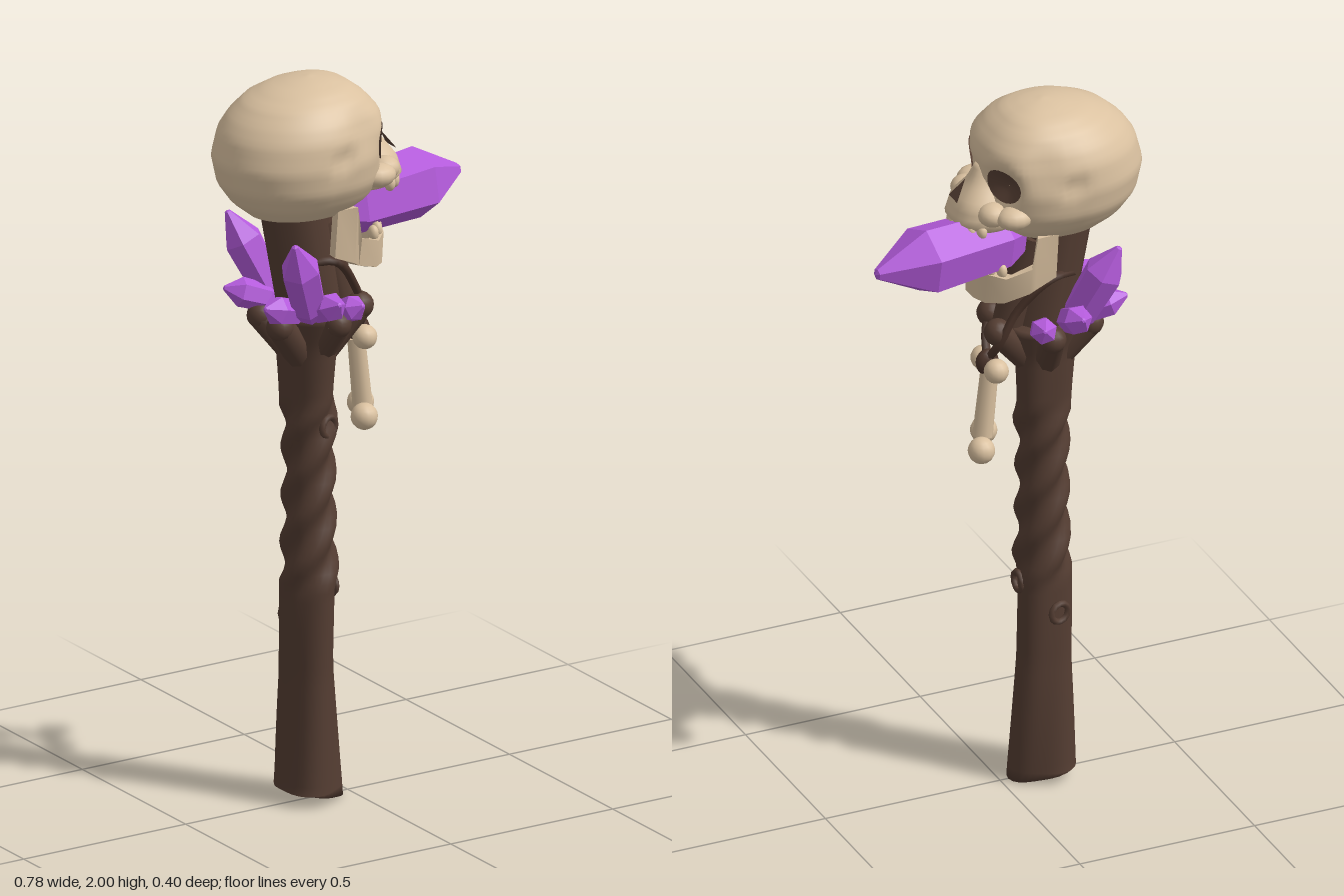
import * as THREE from 'three';
import { toCreasedNormals } from 'three/addons/utils/BufferGeometryUtils.js';

const V = (x, y, z) => new THREE.Vector3(x, y, z);
const mat = (name, color, extra = {}) => {
  const m = new THREE.MeshStandardMaterial({ color, ...extra });
  m.name = name;
  return m;
};

// Skin a list of equal rings and close both ends
function loft(rings) {
  const n = rings[0].length, pos = [], idx = [];
  rings.forEach(r => r.forEach(p => pos.push(p.x, p.y, p.z)));
  for (let i = 0; i < rings.length - 1; i++) for (let j = 0; j < n; j++) {
    const a = i * n + j, b = i * n + (j + 1) % n;
    idx.push(a, a + n, b, b, a + n, b + n);
  }
  [0, rings.length - 1].forEach((k, end) => {
    const c = rings[k].reduce((s, p) => s.add(p), V(0, 0, 0)).divideScalar(n);
    const ci = pos.length / 3;
    pos.push(c.x, c.y, c.z);
    for (let j = 0; j < n; j++) {
      const a = k * n + j, b = k * n + (j + 1) % n;
      end ? idx.push(ci, b, a) : idx.push(ci, a, b);
    }
  });
  const g = new THREE.BufferGeometry();
  g.setAttribute('position', new THREE.Float32BufferAttribute(pos, 3));
  g.setIndex(idx);
  g.computeVertexNormals();
  return g;
}

// Interpolate a table whose first column is y
function sample(table, y) {
  let i = 0;
  while (i < table.length - 2 && y > table[i + 1][0]) i++;
  const t = THREE.MathUtils.clamp((y - table[i][0]) / (table[i + 1][0] - table[i][0]), 0, 1);
  return table[i].map((v, k) => v + (table[i + 1][k] - v) * t);
}

// Rows: y, back x, front x, half depth
const CRANIUM = [[1.625, -0.23, -0.08, 0.06], [1.64, -0.29, -0.02, 0.11], [1.68, -0.34, 0.03, 0.155],
  [1.73, -0.375, 0.055, 0.186], [1.8, -0.39, 0.062, 0.197], [1.87, -0.372, 0.068, 0.19], [1.91, -0.345, 0.055, 0.172],
  [1.95, -0.3, 0.02, 0.14], [1.98, -0.235, -0.02, 0.095], [1.995, -0.17, -0.07, 0.045], [2, -0.125, -0.115, 0.005]];
const MAXILLA = [[1.675, -0.04, 0.115, 0.075], [1.7, -0.04, 0.147, 0.088], [1.75, -0.04, 0.13, 0.085],
  [1.8, -0.04, 0.092, 0.045], [1.85, -0.03, 0.066, 0.025]];
const POW = 2.5;

// Sunken places: x, y, z, radius, push x, push z
const DENTS = [[0.04, 1.82, 0.1, 0.08, -0.035, 0], [0.04, 1.82, -0.1, 0.08, -0.035, 0],
  [-0.13, 1.82, 0.19, 0.05, 0, -0.015], [-0.13, 1.82, -0.19, 0.05, 0, 0.015],
  [-0.05, 1.88, 0.18, 0.09, 0, -0.012], [-0.05, 1.88, -0.18, 0.09, 0, 0.012]];
function dent(p) {
  for (const [x, y, z, r, px, pz] of DENTS) {
    const f = Math.max(0, 1 - p.distanceTo(V(x, y, z)) / r);
    const k = f * f * (3 - 2 * f);
    p.x += px * k;
    p.z += pz * k;
  }
  return p;
}
function headRing(table, y, n, change = p => p) {
  const [, xb, xf, hz] = sample(table, y);
  return Array.from({ length: n }, (_, j) => {
    const a = j / n * Math.PI * 2, c = Math.cos(a), s = Math.sin(a), e = 2 / (c > 0 ? POW : 2);
    return change(V((xb + xf) / 2 + (xf - xb) / 2 * Math.sign(c) * Math.abs(c) ** e, y, hz * Math.sign(s) * Math.abs(s) ** e));
  });
}

export function createModel() {
  const root = new THREE.Group();
  root.name = 'skullStaff';
  const bone = mat('bone', 0xdac1a0), wood = mat('wood', 0x543d32), cord = mat('cord', 0x4b342a);
  const hollow = mat('hollow', 0x5a4236, { side: THREE.DoubleSide });
  const violet = mat('violetCrystal', 0xb45bdc, { flatShading: true });
  const add = (name, geo, m, parent = root) => {
    const mesh = new THREE.Mesh(geo, m);
    mesh.name = name;
    parent.add(mesh);
    return mesh;
  };
  const group = name => {
    const g = new THREE.Group();
    g.name = name;
    root.add(g);
    return g;
  };
  const aim = (mesh, a, b) => {
    mesh.position.copy(a);
    mesh.quaternion.setFromUnitVectors(V(0, 1, 0), b.clone().sub(a).normalize());
    return mesh;
  };
  const ball = (name, p, r, m, parent, s = [1, 1, 1]) => {
    const b = add(name, new THREE.SphereGeometry(r, 14, 10), m, parent);
    b.position.copy(p);
    b.scale.set(...s);
  };
  const limb = (name, a, b, ra, rb, m, parent) => {
    const h = a.distanceTo(b);
    aim(add(name, new THREE.CylinderGeometry(rb, ra, h, 10).translate(0, h / 2, 0), m, parent), a, b);
  };

  // Twisted shaft of three fused strands
  const R = [[0.01, 0.088], [0.1, 0.083], [0.35, 0.071], [0.62, 0.071], [0.75, 0.066], [0.95, 0.064], [1.15, 0.072], [1.27, 0.08], [1.36, 0.105]];
  const shaft = [];
  for (let y = 0.01; y < 1.361; y += 0.025) {
    const r = sample(R, y)[1], tw = y * 1.2 + THREE.MathUtils.clamp(y - 0.6, 0, 0.5) * 15;
    const g = y > 0.6 && y < 1.1 ? 0.14 : 0.1;
    shaft.push(Array.from({ length: 30 }, (_, j) => {
      const a = j / 30 * Math.PI * 2, k = r * (1 + g * Math.cos(3 * (a + tw)));
      const x = Math.cos(a) * k;
      return V(-0.12 + x, y + (y < 0.02 ? 0.015 - x * 0.25 : 0), Math.sin(a) * k);
    }));
  }
  add('shaft', loft(shaft), wood);
  const knots = group('knots');
  [[-0.052, 0.58, 0, Math.PI / 2], [-0.095, 1.04, 0.058, 0.3], [-0.14, 0.5, -0.068, 0.2]].forEach(([x, y, z, ry]) => {
    const k = add('knot', new THREE.TorusGeometry(0.026, 0.009, 6, 12), wood, knots);
    k.position.set(x, y, z);
    k.rotation.y = ry;
  });

  // Branch stubs and the neck under the skull
  const crown = group('branchCrown');
  [[0.02, 1.35, -0.03], [0.0, 1.36, 0.06], [-0.1, 1.34, 0.11], [-0.24, 1.34, 0.05], [-0.23, 1.34, -0.06], [-0.1, 1.34, -0.11]].forEach(p => {
    const end = V(...p);
    limb('branch', V(-0.12, 1.2, 0), end, 0.045, 0.036, wood, crown);
    ball('branchTip', end, 0.037, wood, crown);
  });
  limb('neck', V(-0.11, 1.32, 0), V(-0.17, 1.66, 0), 0.085, 0.09, wood, crown);
  limb('frontRoot', V(-0.02, 1.33, 0), V(-0.1, 1.6, 0), 0.045, 0.06, wood, crown);

  // Skull
  const skull = group('skull');
  const rows = Array.from({ length: 39 }, (_, i) => 1.8125 - 0.1875 * Math.cos(i / 38 * Math.PI));
  add('cranium', loft(rows.map(y => headRing(CRANIUM, y, 64, dent))), bone, skull);
  add('upperJaw', loft(Array.from({ length: 13 }, (_, i) => headRing(MAXILLA, 1.675 + i * 0.0145, 24))), bone, skull);

  // Eye hollows follow the dented face
  for (const s of [-1, 1]) {
    const eye = new THREE.RingGeometry(0.001, 0.05, 22, 5), p = eye.attributes.position;
    for (let i = 0; i < p.count; i++) {
      const y = 1.82 + p.getY(i) * 0.95, z = s * 0.1 - p.getX(i);
      const [, xb, xf, hz] = sample(CRANIUM, y);
      const v = dent(V((xb + xf) / 2 + (xf - xb) / 2 * (1 - Math.abs(z / hz) ** POW) ** (1 / POW), y, z));
      p.setXYZ(i, v.x + 0.007, v.y, v.z);
    }
    eye.computeVertexNormals();
    add('eyeHollow', eye, hollow, skull);
    ball('cheekbone', V(0.015, 1.735, s * 0.125), 0.045, bone, skull, [1.1, 0.7, 0.9]);
    ball('cheekFront', V(0.06, 1.735, s * 0.085), 0.04, bone, skull, [1, 0.8, 1]);
  }
  const nose = new THREE.BufferGeometry().setFromPoints([V(0.135, 1.757, 0.026), V(0.135, 1.757, -0.026), V(0.1, 1.808, 0)]);
  nose.computeVertexNormals();
  add('noseHollow', nose, hollow, skull);

  // Lower jaw: x, z, top, bottom of each section
  const half = [[-0.11, 0.128, 1.66, 1.525], [-0.05, 0.13, 1.66, 1.5], [-0.035, 0.126, 1.57, 1.49],
    [0.03, 0.105, 1.545, 1.468], [0.07, 0.065, 1.55, 1.462], [0.088, 0.025, 1.552, 1.465]];
  const jaw = [...half, ...half.map(([x, z, t, b]) => [x, -z, t, b]).reverse()].map(([x, z, t, b]) => {
    const inner = 0.03, d = V(x + 0.1, 0, z).normalize().multiplyScalar(inner);
    const low = 0.88;
    return [V(x, b, z * low), V(x, t, z), V(x - d.x, t, z - d.z), V(x - d.x, b, z * low - d.z)];
  });
  add('lowerJaw', toCreasedNormals(loft(jaw), 0.8), bone, skull);

  // Teeth
  for (let i = -3; i <= 3; i++) {
    const a = i * 0.36;
    ball('lowerTooth', V(-0.01 + 0.085 * Math.cos(a), 1.557, 0.088 * Math.sin(a)), 0.017, bone, skull, [0.8, 1.3, 1]);
    ball('upperTooth', V(0.045 + 0.085 * Math.cos(a), 1.683, 0.08 * Math.sin(a)), 0.018, bone, skull, [0.8, 1.2, 1]);
  }

  // Crystals
  const crystals = group('crystals');
  const crystal = (name, a, b, r, wide = 0.66) => {
    const h = a.distanceTo(b);
    const pts = [[0, 0], [r * 0.6, 0], [r * 0.9, h * 0.13], [r, h * wide], [r * 0.16, h * 0.985], [0, h]];
    const g = new THREE.LatheGeometry(pts.map(p => new THREE.Vector2(...p)), 6).rotateY(Math.PI / 6);
    aim(add(name, g, violet, crystals), a, b);
  };
  crystal('mouthCrystal', V(-0.045, 1.617, 0), V(0.39, 1.623, -0.07), 0.096);
  for (const s of [-1, 1]) {
    crystal('tallCrystal', V(-0.17, 1.37, s * 0.09), V(-0.268, 1.605, s * 0.165), 0.054);
    crystal('backCrystal', V(-0.19, 1.375, s * 0.06), V(-0.32, 1.42, s * 0.1), 0.04);
    crystal('sideCrystal', V(-0.15, 1.38, s * 0.09), V(-0.15, 1.43, s * 0.2), 0.04);
    crystal('smallCrystal', V(-0.08, 1.36, s * 0.08), V(-0.055, 1.4, s * 0.165), 0.036);
  }

  // Hanging bone on a looped cord
  const charm = group('boneCharm');
  const top = V(0.038, 1.24, -0.018), low = V(0.06, 1.05, -0.022);
  limb('charmShaft', low, top, 0.027, 0.024, bone, charm);
  for (const s of [-1, 1]) {
    ball('charmTopKnob', V(0.038, 1.253, -0.018 + s * 0.042), 0.033, bone, charm);
    ball('charmLowKnob', V(0.06 - s * 0.026, 1.035, -0.022 + s * 0.05), 0.036, bone, charm);
    const path = new THREE.CatmullRomCurve3([V(-0.19, 1.5, s * 0.06), V(-0.1, 1.51, s * 0.095), V(-0.02, 1.42, s * 0.065),
      V(0.025, 1.33, s * 0.045 - 0.01), V(0.045, 1.27, -0.018)]);
    add('cord', new THREE.TubeGeometry(path, 20, 0.012, 6), cord, charm);
  }
  ball('cordKnot', V(0.045, 1.262, -0.018), 0.032, cord, charm, [1, 1.15, 0.7]);
  return root;
}
